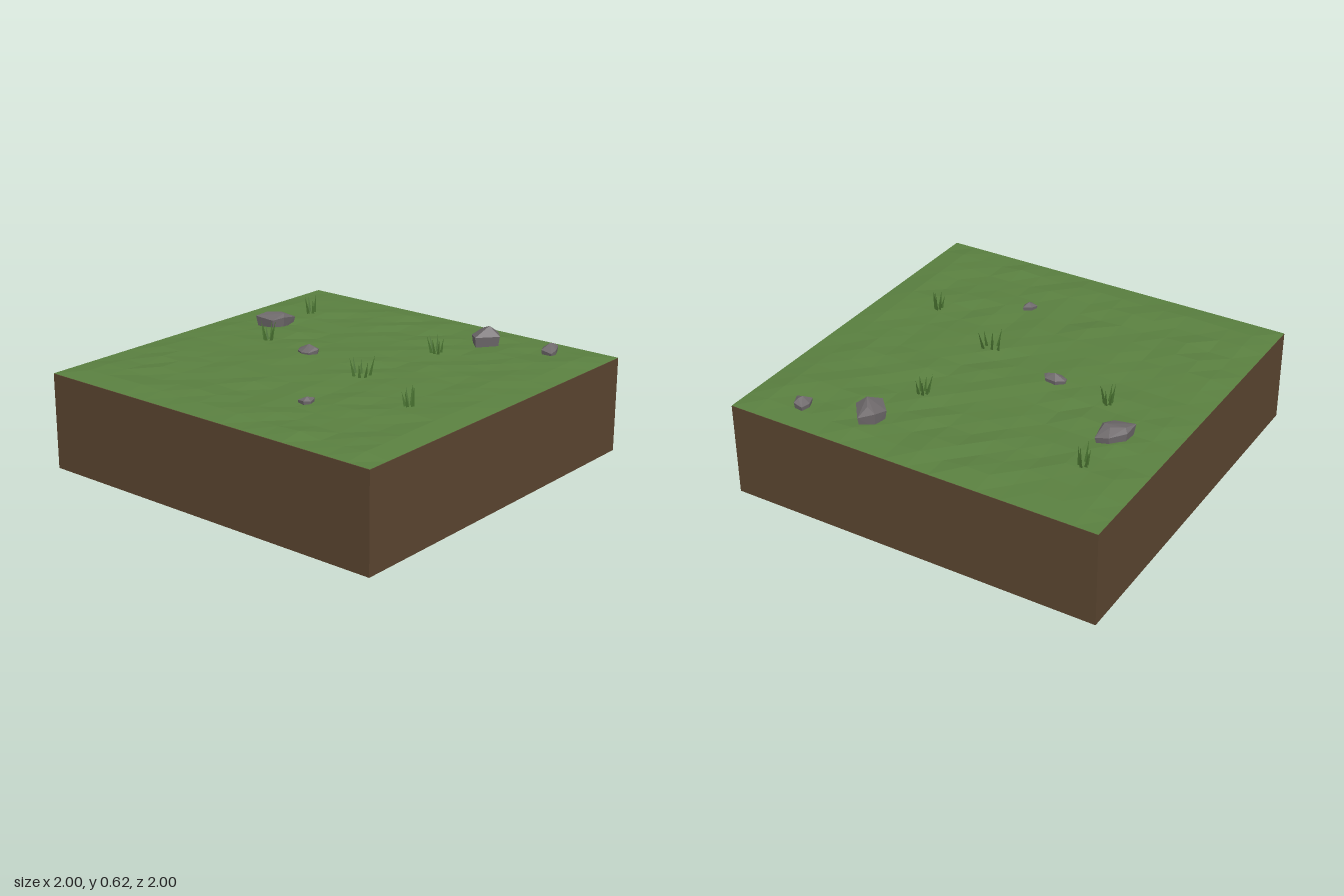
import * as THREE from 'three';
import { ConvexGeometry } from 'three/addons/geometries/ConvexGeometry.js';

const material = (name, color, side = THREE.FrontSide) =>
  Object.assign(new THREE.MeshStandardMaterial({ color, flatShading: true, side }), { name });

// Small seeded generator for the uneven turf and the blades
function seeded(seed) {
  return () => {
    seed = (seed * 1664525 + 1013904223) % 4294967296;
    return seed / 4294967296;
  };
}

export function createModel() {
  const group = new THREE.Group();
  const grass = material('grass green', 0x5a8040, THREE.DoubleSide);
  const blade = material('blade green', 0x47702f, THREE.DoubleSide);
  const dirt = material('soil brown', 0x5a4530);
  const stone = material('stone grey', 0x6e696b);
  const rand = seeded(11);

  const add = (name, geometry, mat, parent = group) => {
    const mesh = new THREE.Mesh(geometry, mat);
    mesh.name = name;
    parent.add(mesh);
    return mesh;
  };

  // Soil block
  add('soilBlock', new THREE.BoxGeometry(2, 0.498, 2), dirt).position.y = 0.249;

  // Turf: a 16 x 16 grid, level at the rim and gently uneven inside
  const turf = new THREE.PlaneGeometry(2, 2, 16, 16).rotateX(-Math.PI / 2);
  const p = turf.attributes.position;
  for (let i = 0; i < p.count; i++) {
    const edge = Math.max(Math.abs(p.getX(i)), Math.abs(p.getZ(i))) > 0.99;
    p.setY(i, edge ? 0.5 : 0.503 + 0.016 * rand());
  }
  turf.computeVertexNormals();
  add('turf', turf, grass);

  // Rocks: shoulder outline [x, y, z], a narrower foot, and crown points
  const rocks = [
    {
      shoulder: [[0.37, 0.55, -0.845], [0.445, 0.56, -0.75], [0.36, 0.56, -0.65], [0.29, 0.55, -0.72], [0.3, 0.57, -0.8]],
      crown: [[0.385, 0.61, -0.74], [0.35, 0.59, -0.79]],
    },
    {
      shoulder: [[0.67, 0.53, -0.88], [0.72, 0.54, -0.875], [0.75, 0.535, -0.81], [0.74, 0.52, -0.78], [0.68, 0.53, -0.78], [0.66, 0.53, -0.83]],
      crown: [[0.7, 0.56, -0.83], [0.71, 0.555, -0.85]],
    },
    {
      shoulder: [[-0.655, 0.54, -0.405], [-0.64, 0.56, -0.3], [-0.67, 0.55, -0.24], [-0.78, 0.56, -0.23], [-0.78, 0.555, -0.32], [-0.72, 0.55, -0.39]],
      crown: [[-0.66, 0.575, -0.32], [-0.76, 0.572, -0.3], [-0.7, 0.575, -0.34]],
    },
    {
      shoulder: [[-0.29, 0.53, -0.03], [-0.25, 0.535, -0.065], [-0.19, 0.535, -0.06], [-0.17, 0.54, -0.03], [-0.2, 0.525, 0.01], [-0.24, 0.525, 0.02], [-0.28, 0.525, 0]],
      crown: [[-0.23, 0.56, -0.03], [-0.19, 0.55, -0.03]],
    },
    {
      shoulder: [[0.27, 0.525, 0.505], [0.285, 0.52, 0.55], [0.265, 0.525, 0.58], [0.22, 0.52, 0.57], [0.23, 0.525, 0.53]],
      crown: [[0.26, 0.54, 0.55]],
    },
  ];
  rocks.forEach(({ shoulder, crown }, i) => {
    const top = shoulder.map((c) => new THREE.Vector3(...c));
    const centre = top.reduce((s, v) => s.add(v), new THREE.Vector3()).divideScalar(top.length);
    const foot = top.map((v) => v.clone().lerp(centre, 0.12).setY(0.495));
    add(`rock${i + 1}`, new ConvexGeometry([...top, ...foot, ...crown.map((c) => new THREE.Vector3(...c))]), stone);
  });

  // Grass tufts: [x, z, spread] with slim three-sided blades leaning outwards
  const tufts = [[-0.7, -0.59, 0.026], [0.26, -0.45, 0.024], [-0.545, -0.07, 0.02], [0.205, 0.09, 0.045], [0.66, 0.29, 0.02]];
  const up = new THREE.Vector3(0, 1, 0);
  tufts.forEach(([x, z, spread], t) => {
    const tuft = new THREE.Group();
    tuft.name = `grassTuft${t + 1}`;
    tuft.position.set(x, 0.5, z);
    group.add(tuft);
    for (let i = 0; i < 6; i++) {
      const a = (i + 0.6 * rand()) * Math.PI / 3 + t;
      const r = spread * (0.5 + 0.5 * rand());
      const h = 0.085 + 0.038 * rand();
      const lean = 0.08 + 0.2 * rand();
      const geometry = new THREE.ConeGeometry(0.011, h, 3, 1, true).translate(0, h / 2, 0);
      const mesh = add('blade', geometry, blade, tuft);
      mesh.position.set(Math.cos(a) * r, 0, Math.sin(a) * r);
      mesh.quaternion.setFromUnitVectors(up, new THREE.Vector3(Math.cos(a) * lean, 1, Math.sin(a) * lean).normalize());
    }
  });

  return group;
}
